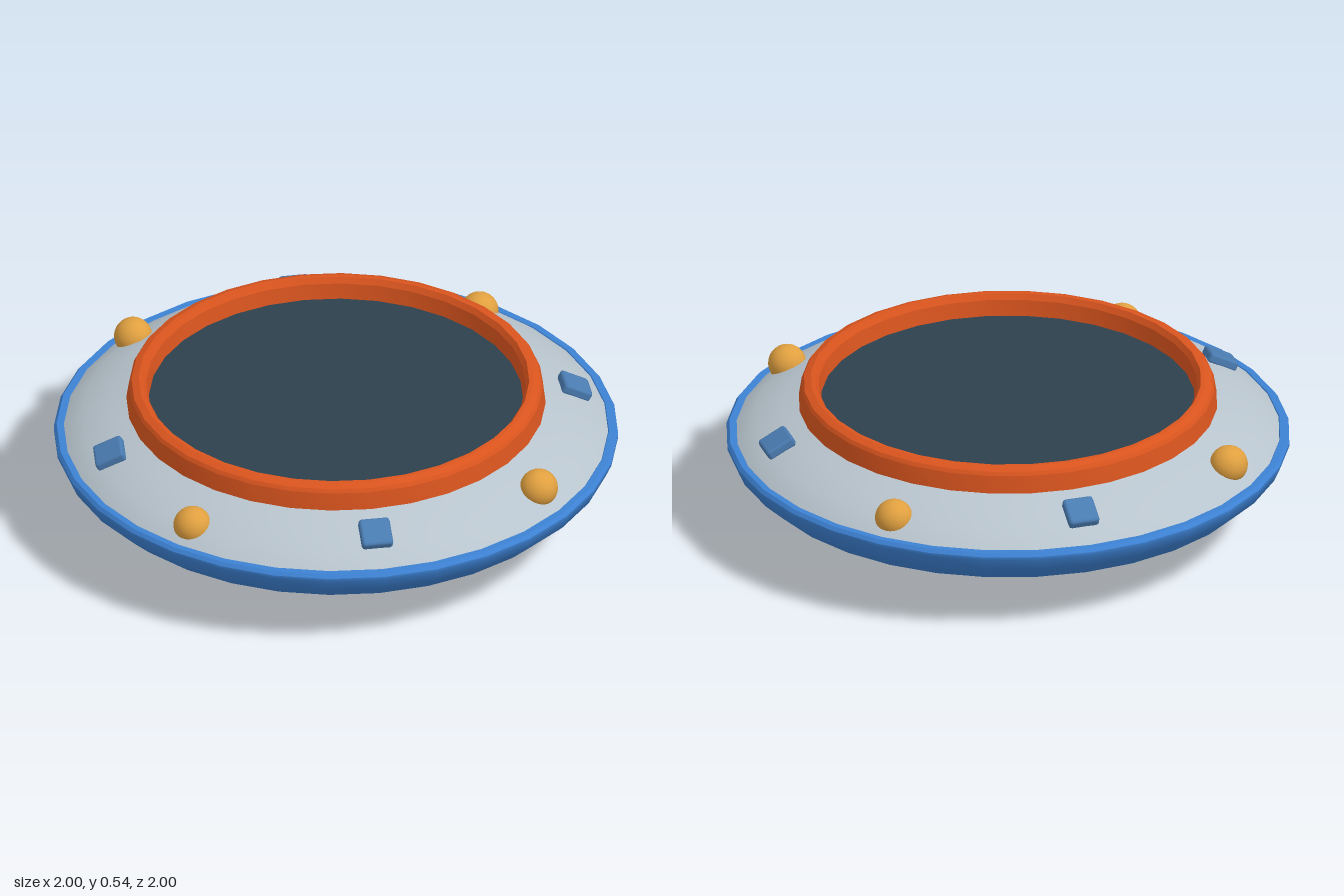
import * as THREE from 'three';
import { toCreasedNormals } from 'three/addons/utils/BufferGeometryUtils.js';
import { RoundedBoxGeometry } from 'three/addons/geometries/RoundedBoxGeometry.js';

const material = (name, color) => {
  const m = new THREE.MeshStandardMaterial({ color });
  m.name = name;
  return m;
};

export function createModel() {
  const model = new THREE.Group();
  model.name = 'saucer';
  const blue = material('hull blue', 0x3d82d4);
  const grey = material('deck grey', 0xb8c4cd);
  const orange = material('collar orange', 0xd9541e);
  const amber = material('lamp amber', 0xe0a040);
  const steel = material('panel blue', 0x4a7cb2);
  const dark = material('floor slate', 0x2d404d);

  const add = (name, geometry, mat) => {
    const mesh = new THREE.Mesh(geometry, mat);
    mesh.name = name;
    model.add(mesh);
    return mesh;
  };
  const lathe = (points) =>
    new THREE.LatheGeometry(points.map(([r, y]) => new THREE.Vector2(r, y)), 32);

  // Shallow bowl with a pointed keel
  add('lowerHull', lathe([
    [0, 0], [0.45, 0.06], [0.63, 0.09], [0.78, 0.14],
    [0.91, 0.2], [0.98, 0.265], [1, 0.31], [1, 0.322],
  ]), blue);
  // Flat lip around the widest edge
  add('rim', toCreasedNormals(lathe([[1, 0.322], [0.99, 0.335], [0.967, 0.335], [0.96, 0.325]]), 0.35), blue);
  // Sloping upper deck
  add('upperDeck', lathe([
    [0.975, 0.322], [0.94, 0.353], [0.9, 0.379], [0.85, 0.405], [0.8, 0.427], [0.735, 0.45],
  ]), grey);

  // Raised ring around the open cockpit
  add('collar', toCreasedNormals(lathe([
    [0.743, 0.448], [0.733, 0.512], [0.725, 0.525], [0.7, 0.535],
    [0.685, 0.535], [0.672, 0.515], [0.662, 0.45],
  ]), 0.35), orange);
  const floor = add('cockpitFloor', new THREE.CircleGeometry(0.67, 32), dark);
  floor.rotation.x = -Math.PI / 2;
  floor.position.y = 0.457;

  // Round lamps at the four quarters; the side pair sits a little higher
  for (const [x, y, z] of [[0.88, 0.398, 0], [-0.88, 0.398, 0], [0, 0.373, 0.88], [0, 0.373, -0.88]]) {
    add('lamp', new THREE.SphereGeometry(0.068, 24, 16), amber).position.set(x, y, z);
  }

  // Small bevelled panels lying on the slope, each with its own spin
  for (const [x, z, spin] of [[0.605, -0.61, 0], [-0.605, -0.61, 0], [0.6, 0.605, 0], [-0.48, 0.71, -0.3]]) {
    const mount = new THREE.Group();
    mount.name = 'panelMount';
    mount.position.set(x, 0.413, z);
    mount.rotation.order = 'YXZ';
    mount.rotation.set(0.48, Math.atan2(x, z), 0);
    const panel = add('panel', new RoundedBoxGeometry(0.112, 0.04, 0.112, 1, 0.012), steel);
    panel.rotation.y = spin;
    mount.add(panel);
    model.add(mount);
  }
  return model;
}
